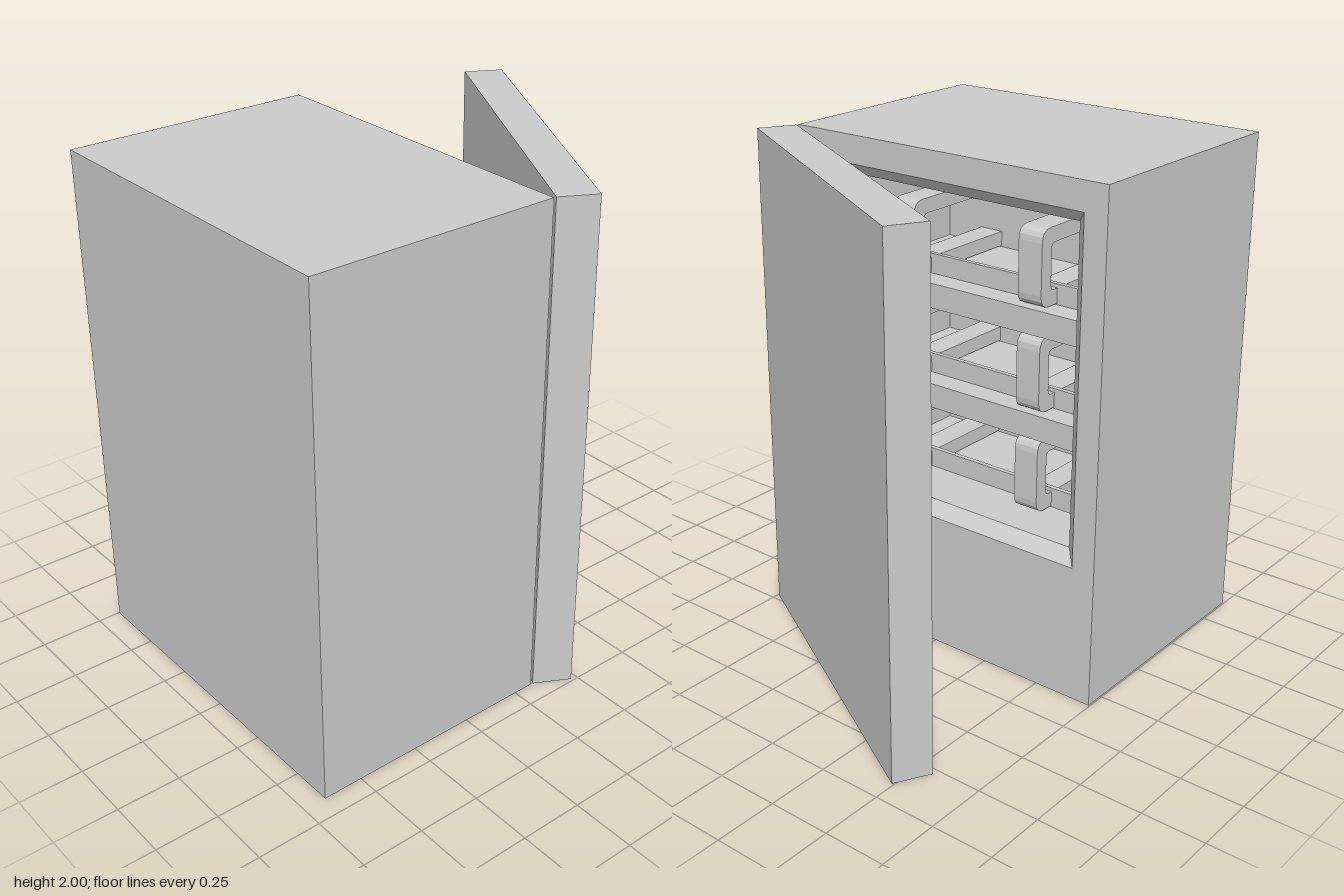
import * as THREE from 'three';

const material = new THREE.MeshStandardMaterial({ color: 0xcccccc, flatShading: true });

function addMesh(parent, name, geometry, x = 0, y = 0, z = 0) {
  const mesh = new THREE.Mesh(geometry, material);
  mesh.name = name;
  mesh.position.set(x, y, z);
  parent.add(mesh);
  return mesh;
}

// Solid skin through rectangles [x0, x1, y0, y1, z], capped at both ends
function loftRectangles(rings) {
  const pos = [];
  const corners = rings.map(([x0, x1, y0, y1, z]) =>
    [[x0, y0, z], [x1, y0, z], [x1, y1, z], [x0, y1, z]]);
  const quad = (a, b, c, d) => pos.push(...a, ...b, ...c, ...a, ...c, ...d);
  quad(...corners[0]);
  for (let i = 0; i < corners.length - 1; i++) {
    for (let j = 0; j < 4; j++) {
      const k = (j + 1) % 4;
      quad(corners[i][j], corners[i + 1][j], corners[i + 1][k], corners[i][k]);
    }
  }
  quad(...[...corners[corners.length - 1]].reverse());
  const geometry = new THREE.BufferGeometry();
  geometry.setAttribute('position', new THREE.Float32BufferAttribute(pos, 3));
  geometry.computeVertexNormals();
  return geometry;
}

// C-shaped strap: upright at the opening, two arms running to the rear wall
function strapGeometry(length, height, thick, width) {
  const r = 0.05, t = thick, q = 0.02;
  const s = new THREE.Shape();
  s.moveTo(length, 0);
  s.lineTo(r, 0);
  s.quadraticCurveTo(0, 0, 0, r);
  s.lineTo(0, height - r);
  s.quadraticCurveTo(0, height, r, height);
  s.lineTo(length, height);
  s.lineTo(length, height - t);
  s.lineTo(t + q, height - t);
  s.quadraticCurveTo(t, height - t, t, height - t - q);
  s.lineTo(t, t + q);
  s.quadraticCurveTo(t, t, t + q, t);
  s.lineTo(length, t);
  s.closePath();
  const geometry = new THREE.ExtrudeGeometry(s, { depth: width, bevelEnabled: false, curveSegments: 4 });
  geometry.translate(0, 0, -width / 2);
  geometry.rotateY(-Math.PI / 2); // profile runs along +z
  return geometry;
}

export function createModel() {
  const model = new THREE.Group();
  model.name = 'cabinet';

  // Cabinet body with a chamfered opening and a deep cavity
  const x0 = -0.6, x1 = 0.52, floor = 0.6, ceiling = 1.84, rear = 0.65, c = 0.05;
  addMesh(model, 'cabinetBody', loftRectangles([
    [-0.745, 0.665, 0, 2, 0.91],
    [-0.745, 0.665, 0, 2, -0.08],
    [x0 - c, x1 + c, floor - c, ceiling + c, -0.08],
    [x0, x1, floor, ceiling, -0.08 + c],
    [x0, x1, floor, ceiling, rear],
  ]));

  // Three tiers: shelf, low retaining lip and a pair of straps
  const pitch = (ceiling - floor) / 3, midX = (x0 + x1) / 2, width = x1 - x0;
  const shelfFront = 0.1, shelfThick = 0.1;
  const strap = strapGeometry(rear - shelfFront, 0.3, 0.06, 0.105);
  for (let i = 0; i < 3; i++) {
    const y = floor + i * pitch;
    const tier = new THREE.Group();
    tier.name = 'tier' + (i + 1);
    model.add(tier);
    if (i > 0) {
      addMesh(tier, 'shelf', new THREE.BoxGeometry(width, shelfThick, rear - shelfFront),
        midX, y - shelfThick / 2, (rear + shelfFront) / 2);
    }
    addMesh(tier, 'shelfLip', new THREE.BoxGeometry(width, 0.08, 0.02), midX, y + 0.04, 0.21);
    for (const x of [-0.3, 0.3]) addMesh(tier, 'strap', strap, x, y + 0.005, shelfFront);
  }

  // Door standing open on its hinge side
  const door = addMesh(model, 'door', new THREE.BoxGeometry(1.41, 2, 0.153), 0.087, 1, -0.5);
  door.rotation.y = -0.508;

  return model;
}
